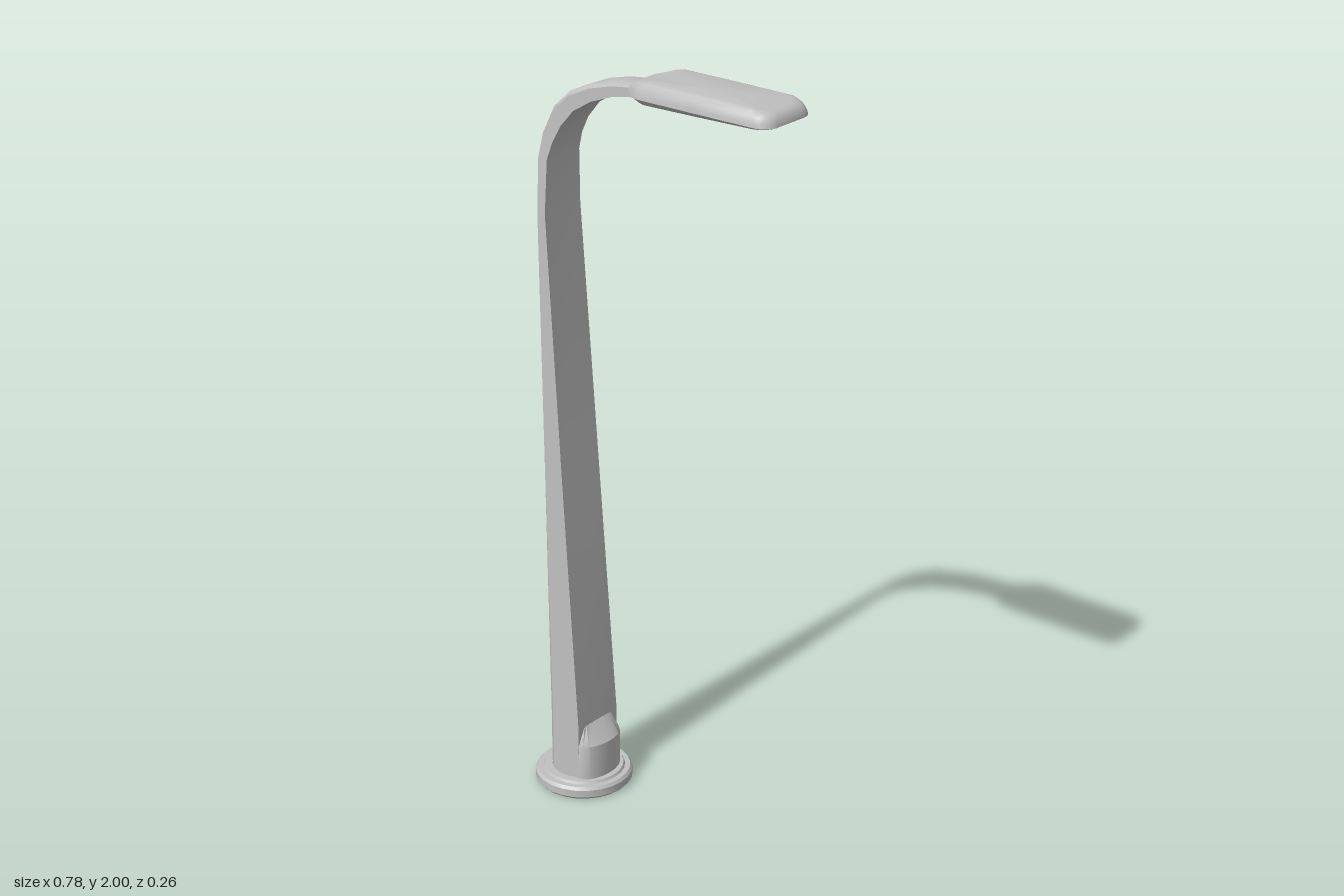
import * as THREE from 'three';
import { toCreasedNormals } from 'three/addons/utils/BufferGeometryUtils.js';

const metal = new THREE.MeshStandardMaterial({ color: 0xc0c0c0, side: THREE.DoubleSide });
metal.name = 'light grey metal';
const glass = new THREE.MeshStandardMaterial({ color: 0xa8a8a8, side: THREE.DoubleSide });
glass.name = 'grey lens';

// Skins a list of equal-length rings of [x, y, z]; optional flat end caps
function loft(rings, { capStart = false, capEnd = false, crease = 0.6 } = {}) {
  const pos = [];
  const n = rings[0].length;
  const tri = (a, b, c) => pos.push(...a, ...b, ...c);
  for (let i = 0; i < rings.length - 1; i++) {
    for (let j = 0; j < n; j++) {
      const k = (j + 1) % n;
      const a = rings[i][j], b = rings[i][k], c = rings[i + 1][k], d = rings[i + 1][j];
      tri(a, b, c);
      tri(a, c, d);
    }
  }
  const cap = (ring, flip) => {
    const mid = [0, 1, 2].map(q => ring.reduce((s, p) => s + p[q], 0) / n);
    for (let j = 0; j < n; j++) {
      const a = ring[j], b = ring[(j + 1) % n];
      flip ? tri(mid, b, a) : tri(mid, a, b);
    }
  };
  if (capStart) cap(rings[0], true);
  if (capEnd) cap(rings[rings.length - 1], false);
  const g = new THREE.BufferGeometry();
  g.setAttribute('position', new THREE.Float32BufferAttribute(pos, 3));
  return toCreasedNormals(g, crease);
}

function part(group, name, geometry, material = metal) {
  const mesh = new THREE.Mesh(geometry, material);
  mesh.name = name;
  group.add(mesh);
  return mesh;
}

// Plan outline of the lamp head, shrunk by an inset
function headOutline(inset) {
  const half = 0.09 - inset, end = 0.39 - inset, r = 0.04;
  const side = [];
  for (let i = 0; i <= 4; i++) {
    const a = (i / 4) * Math.PI / 2;
    side.push([end - r + r * Math.cos(a), half - r + r * Math.sin(a)]);
  }
  side.push([0.18, half], [0.005 + inset, half], [-0.015 + inset, half - 0.008],
    [-0.035 + inset, half - 0.027], [-0.058 + inset, Math.min(0.045, half - 0.04)]);
  return [...side.map(([x, z]) => [x, -z]), ...side.reverse()];
}

export function createModel() {
  const group = new THREE.Group();
  group.name = 'streetLamp';

  // Flanged ring at the foot, open in the middle
  const flange = new THREE.LatheGeometry([
    [0.085, 0.035], [0.085, 0], [0.122, 0], [0.13, 0.008], [0.13, 0.028],
    [0.124, 0.036], [0.11, 0.036], [0.106, 0.043], [0.085, 0.043], [0.085, 0.035],
  ].map(([x, y]) => new THREE.Vector2(x, y)), 24);
  part(group, 'baseFlange', toCreasedNormals(flange, 0.6)).position.x = -0.262;

  // Tapered pole bending into the arm: back x, y, front x, y, back and front half width
  const stations = [
    [-0.335, 0.02, -0.213, 0.02, 0.070, 0.077],
    [-0.335, 0.20, -0.213, 0.20, 0.070, 0.077],
    [-0.338, 0.90, -0.262, 0.90, 0.070, 0.072],
    [-0.343, 1.60, -0.310, 1.60, 0.065, 0.066],
    [-0.343, 1.74, -0.306, 1.74, 0.059, 0.060],
    [-0.330, 1.81, -0.292, 1.785, 0.055, 0.055],
    [-0.302, 1.872, -0.267, 1.832, 0.051, 0.051],
    [-0.250, 1.920, -0.228, 1.877, 0.048, 0.048],
    [-0.180, 1.950, -0.172, 1.910, 0.046, 0.046],
    [-0.110, 1.967, -0.107, 1.934, 0.045, 0.045],
    [-0.030, 1.976, -0.030, 1.948, 0.045, 0.045],
  ];
  const poleRings = stations.map(([bx, by, fx, fy, wb, wf]) =>
    [[1, -wf], [0.22, -wb], [0, -wb * 0.65], [0, wb * 0.65], [0.22, wb], [1, wf]]
      .map(([u, z]) => [bx + (fx - bx) * u, by + (fy - by) * u, z]));
  part(group, 'poleAndArm', loft(poleRings, { capEnd: true, crease: 0.5 }));

  // Rounded housing low on the inner side of the pole
  const housing = [[0.02, 0.043, 0.077], [0.14, 0.043, 0.077], [0.19, 0.002, 0.055]]
    .map(([y, depth, half]) => {
      const ring = [];
      for (let i = 0; i <= 10; i++) {
        const a = Math.PI / 2 - (i / 10) * Math.PI;
        ring.push([-0.214 + depth * Math.cos(a), y, half * Math.sin(a)]);
      }
      return ring;
    });
  part(group, 'poleHousing', loft(housing, { capEnd: true }));

  // Flat lamp head; its top slopes down to the arm and its underside is recessed
  const layers = [
    [0.028, 1.952], [0.024, 1.946], [0.012, 1.946], [0, 1.960],
    [0.001, 1.970], [0.006, 1.987], [0.014, 1.997], [0.024, 2.0],
  ];
  const headRings = layers.map(([inset, y]) => headOutline(inset).map(([x, z]) => {
    const neck = THREE.MathUtils.clamp((0.01 - x) / 0.065, 0, 1);
    const tip = THREE.MathUtils.clamp((x - 0.33) / 0.06, 0, 1);
    const drop = Math.max(0, y - 1.96) * (0.45 * neck + 0.3 * tip);
    const rise = y < 1.96 ? 0.008 * THREE.MathUtils.clamp((x - 0.06) / 0.33, 0, 1) : 0;
    return [x, y - drop + rise, z];
  }));
  part(group, 'lampHead', loft(headRings, { capStart: true, capEnd: true, crease: 0.7 }));

  // Lens panel under the head
  const lens = part(group, 'lens', new THREE.BoxGeometry(0.325, 0.004, 0.122), glass);
  lens.position.set(0.195, 1.953, 0);
  lens.rotation.z = 0.024;

  return group;
}
